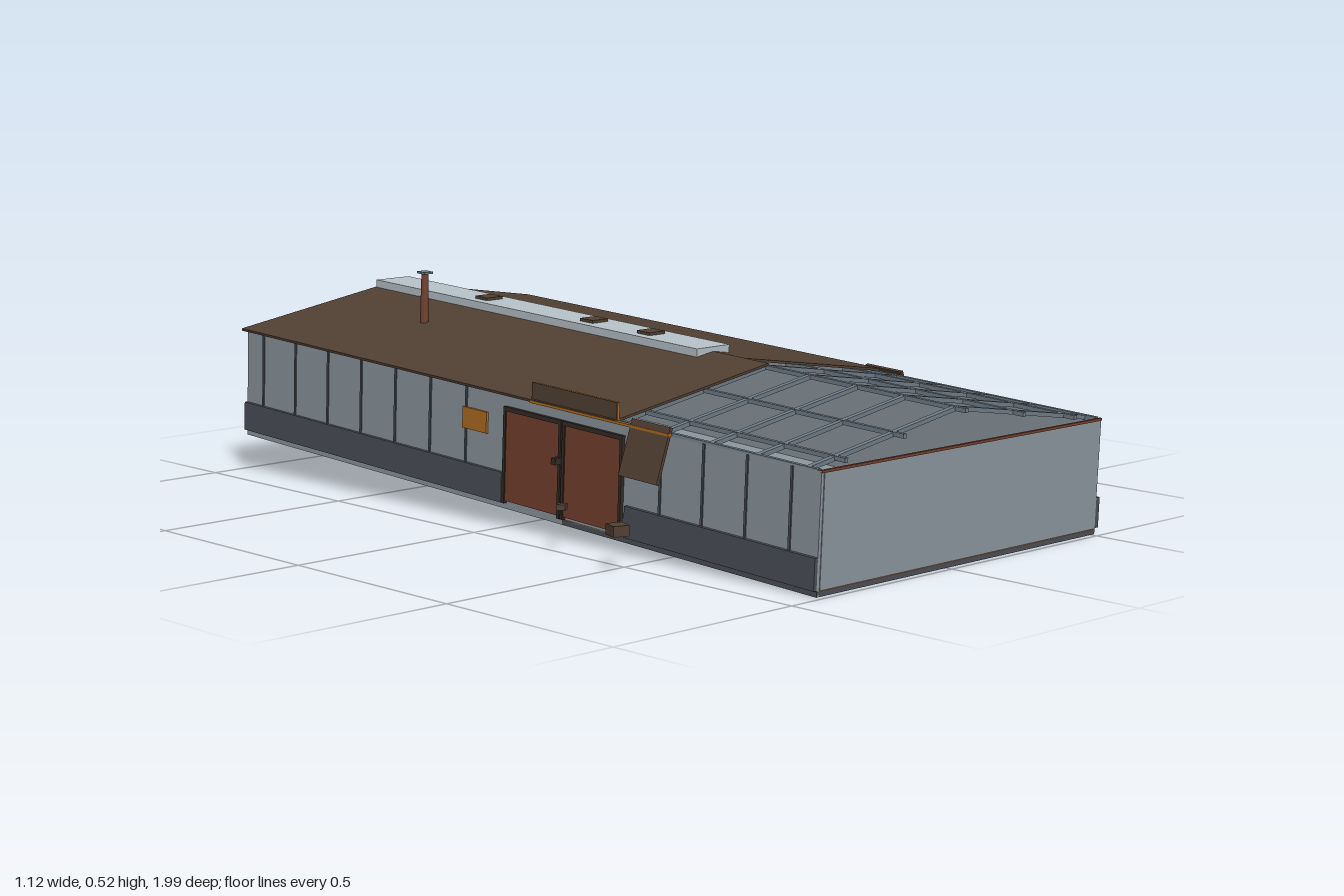
import * as THREE from 'three';

const mat = (name, color) => {
  const m = new THREE.MeshStandardMaterial({ color });
  m.name = name;
  return m;
};

export function createModel() {
  const root = new THREE.Group();
  root.name = 'damagedShed';
  const brown = mat('rust brown', 0x513f32);
  const grey = mat('wall grey', 0x8a969e);
  const slate = mat('slate skirt', 0x4b4f58);
  const pale = mat('pale ridge metal', 0xb5c0c8);
  const steel = mat('steel blue', 0x6f7d88);
  const red = mat('door red brown', 0x74402e);
  const orange = mat('sign orange', 0xb06a20);
  const dark = mat('dark vent', 0x352b25);

  // The whole shed lies on a gentle slope, down towards the front
  const shed = new THREE.Group();
  shed.name = 'shed';
  shed.rotation.x = 0.045;
  shed.position.y = 0.045;
  root.add(shed);

  // Box given by its limits on each axis
  const box = (name, m, x0, x1, y0, y1, z0, z1, parent = shed) => {
    const mesh = new THREE.Mesh(new THREE.BoxGeometry(x1 - x0, y1 - y0, z1 - z0), m);
    mesh.position.set((x0 + x1) / 2, (y0 + y1) / 2, (z0 + z1) / 2);
    mesh.name = name;
    parent.add(mesh);
    return mesh;
  };
  // Slab between two points of the cross-section, running from z0 to z1
  const slab = (name, m, [xa, ya], [xb, yb], t, z0, z1) => {
    const mesh = new THREE.Mesh(new THREE.BoxGeometry(Math.hypot(xb - xa, yb - ya), t, z1 - z0), m);
    mesh.position.set((xa + xb) / 2, (ya + yb) / 2, (z0 + z1) / 2);
    mesh.rotation.z = Math.atan2(yb - ya, xb - xa);
    mesh.name = name;
    shed.add(mesh);
    return mesh;
  };

  const MID = 0.053, L = -0.41, R = 0.512, BACK = -0.985, FRONT = 0.985;
  const roofY = (x) => 0.345 - 0.16 * Math.abs(x - MID);

  // Floor
  box('rearFloor', grey, L, R, 0, 0.012, BACK, 0.2);
  box('frontFloorBase', slate, L, R, 0, 0.01, 0.2, FRONT);
  box('frontFloor', brown, L, R, 0.01, 0.014, 0.2, FRONT);

  // Walls, with a gable at the back only
  box('rightWall', grey, R - 0.008, R, 0, 0.268, BACK, FRONT);
  box('leftWall', grey, L, L + 0.008, 0, 0.268, BACK, FRONT);
  box('frontWall', grey, L + 0.01, R - 0.007, 0, 0.268, FRONT - 0.006, FRONT);
  const gable = new THREE.Shape([
    new THREE.Vector2(L, 0), new THREE.Vector2(R, 0),
    new THREE.Vector2(R, 0.27), new THREE.Vector2(MID, 0.343), new THREE.Vector2(L, 0.27),
  ]);
  const backWall = new THREE.Mesh(
    new THREE.ExtrudeGeometry(gable, { depth: 0.008, bevelEnabled: false }), grey);
  backWall.position.z = BACK;
  backWall.name = 'backWall';
  shed.add(backWall);
  box('frontTopBeam', red, L, R, 0.264, 0.27, FRONT - 0.005, FRONT + 0.002);

  // Dark skirts along the sides and slats across the back
  box('rightSkirt', slate, R, 0.524, 0.014, 0.085, BACK, FRONT);
  box('leftSkirt', slate, -0.419, L, 0.014, 0.085, BACK, 0);
  box('leftSkirtFront', slate, -0.419, L, 0.014, 0.085, 0.41, FRONT);
  for (let i = 0; i < 5; i++)
    box('backSkirtSlat', slate, L, R, 0.012 + i * 0.014, 0.02 + i * 0.014, BACK - 0.003, BACK);

  // Vertical seams on the left wall
  for (let i = 0; i < 15; i++) {
    const z = -0.92 + i * 0.13;
    if (z < -0.02 || z > 0.42)
      box('leftWallSeam', slate, L - 0.003, L, 0.085, 0.265, z, z + 0.006);
  }

  // Left doors with frame and small sign
  for (const z of [0.01, 0.21]) {
    box('leftDoor', red, L - 0.006, L, 0.02, 0.23, z, z + 0.18);
    box('leftDoorLintel', dark, L - 0.009, L, 0.23, 0.24, z - 0.008, z + 0.188);
    for (const s of [z - 0.008, z + 0.18])
      box('leftDoorPost', dark, L - 0.009, L, 0.014, 0.23, s, s + 0.008);
  }
  box('smallSign', orange, L - 0.006, L, 0.165, 0.215, -0.145, -0.06);
  box('wallLamp', dark, -0.435, L, 0.14, 0.155, 0.185, 0.2);

  // Panel standing along the left eave
  box('eaveSignFace', orange, -0.417, -0.412, 0.27, 0.312, 0.1, 0.38);
  box('eaveSignBack', brown, -0.421, -0.417, 0.274, 0.312, 0.1, 0.38);
  box('eaveSignRail', orange, -0.428, -0.417, 0.266, 0.272, 0.1, 0.55);

  // Back gate frame and sign strips
  for (const x of [-0.163, 0.24])
    box('gatePost', red, x, x + 0.012, 0.075, 0.27, BACK - 0.01, BACK);
  box('gateLintel', red, -0.163, 0.252, 0.258, 0.27, BACK - 0.01, BACK);
  for (let i = 0; i < 12; i++)
    box('gateSillMark', orange, -0.145 + i * 0.032, -0.125 + i * 0.032, 0.085, 0.091, BACK - 0.004, BACK);
  box('gateSign', orange, -0.05, 0.155, 0.282, 0.298, BACK - 0.006, BACK);

  // Remaining roof: the right half breaks off a little further back
  const ridge = [MID, 0.346];
  slab('leftRoof', brown, [-0.425, 0.27], ridge, 0.006, -0.99, 0.38);
  slab('rightRoof', brown, ridge, [0.53, 0.27], 0.006, -0.99, 0.305);

  // Ridge cap with vents
  box('ridgeCap', pale, 0, 0.106, 0.335, 0.36, -0.985, 0.2);
  for (const z of [-0.6, -0.21, -0.01])
    box('ridgeVent', brown, 0.027, 0.078, 0.36, 0.367, z - 0.022, z + 0.022);

  // Chimney
  const flue = new THREE.Mesh(new THREE.CylinderGeometry(0.009, 0.011, 0.14, 12), red);
  flue.position.set(-0.145, 0.37, -0.615);
  flue.name = 'chimney';
  shed.add(flue);
  box('chimneyCap', steel, -0.159, -0.131, 0.439, 0.444, -0.629, -0.601);

  // Exposed rafters
  for (const z of [0.37, 0.51, 0.655, 0.795, 0.94]) {
    slab('leftRafter', steel, [L + 0.008, roofY(L) - 0.006], [MID, 0.339], 0.01, z - 0.006, z + 0.006);
    slab('rightRafter', steel, [MID, 0.339], [R - 0.008, roofY(R) - 0.006], 0.01, z - 0.006, z + 0.006);
  }
  // Exposed purlins with uneven broken ends
  const purlins = [[-0.405, 0.2], [-0.325, 0.27], [-0.145, 0.27], [MID, 0.2], [0.25, 0.25], [0.43, 0.27], [0.507, 0.2]];
  for (const [x, z] of purlins) {
    const y = roofY(x) - 0.006;
    box('purlin', steel, x - 0.005, x + 0.005, y - 0.005, y + 0.005, z, 0.975);
  }

  // Torn roof sheets hanging from the eaves
  slab('leftHangingSheet', brown, [-0.455, 0.162], [-0.418, 0.285], 0.008, 0.43, 0.55);
  slab('rightHangingSheet', brown, [0.522, 0.278], [0.556, 0.19], 0.008, 0.26, 0.375);

  // Rubble on the floor inside
  for (const [x, z, r] of [[-0.1, 0.8, 0.02], [0.26, 0.62, 0.025]]) {
    const lump = new THREE.Mesh(new THREE.CylinderGeometry(r * 0.8, r, 0.025, 6), brown);
    lump.position.set(x, 0.026, z);
    lump.name = 'rubble';
    shed.add(lump);
  }

  // Loose debris outside the left wall
  box('largeDebris', brown, -0.557, -0.519, 0.08, 0.104, 0.5, 0.54, root).rotation.y = -0.3;
  box('smallDebris', brown, -0.501, -0.479, 0.095, 0.108, 0.279, 0.299, root).rotation.y = 0.6;

  return root;
}
